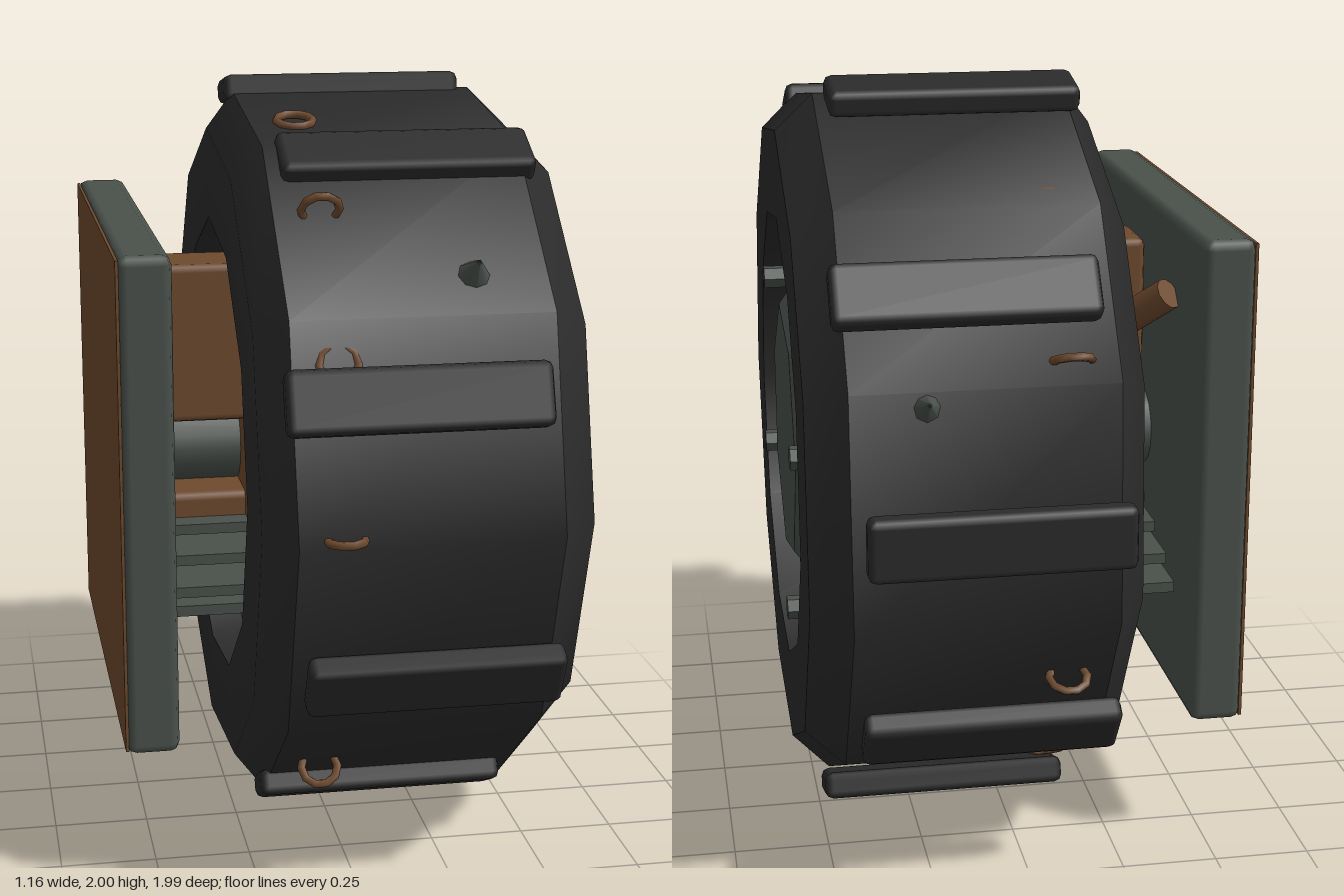
import * as THREE from 'three';
import { toCreasedNormals } from 'three/addons/utils/BufferGeometryUtils.js';
import { RoundedBoxGeometry } from 'three/addons/geometries/RoundedBoxGeometry.js';

const RAD = Math.PI / 180;
const CY = 1.01; // height of the wheel axis

function material(name, color, flatShading = false) {
  const m = new THREE.MeshStandardMaterial({ color, flatShading });
  m.name = name;
  return m;
}

// Sweeps a profile of [x, radius] points around the x axis through the given angles
// (degrees, measured from straight up towards the back).
function sweep(profile, angles, crease) {
  const pos = [];
  const point = ([x, r], a) => [x, r * Math.cos(a * RAD), -r * Math.sin(a * RAD)];
  for (let j = 0; j < angles.length; j++) {
    const a0 = angles[j], a1 = angles[(j + 1) % angles.length];
    for (let i = 0; i < profile.length - 1; i++) {
      const p = profile[i], q = profile[i + 1];
      if (q[1] > 0) pos.push(...point(p, a0), ...point(q, a0), ...point(q, a1));
      if (p[1] > 0) pos.push(...point(p, a0), ...point(q, a1), ...point(p, a1));
    }
  }
  const g = new THREE.BufferGeometry();
  g.setAttribute('position', new THREE.Float32BufferAttribute(pos, 3));
  g.computeVertexNormals();
  return toCreasedNormals(g, crease);
}

const regular = (n, start) => Array.from({ length: n }, (_, i) => start + (i * 360) / n);

export function createModel() {
  const model = new THREE.Group();
  model.name = 'scrapWheel';

  const rubber = material('blackRubber', 0x2b2b2b);
  const rust = material('rustyMetal', 0x6e4a2e);
  const steel = material('greySteel', 0x4a514b);

  const wheel = new THREE.Group();
  wheel.name = 'wheel';
  wheel.position.y = CY;
  model.add(wheel);

  function add(parent, name, geometry, mat, x = 0, y = 0, z = 0) {
    const mesh = new THREE.Mesh(geometry, mat);
    mesh.name = name;
    mesh.position.set(x, y, z);
    parent.add(mesh);
    return mesh;
  }

  // Holder whose +y points outwards from the axis at the given angle
  function around(name, angle) {
    const g = new THREE.Group();
    g.name = name + 'Holder';
    g.rotation.x = -angle * RAD;
    wheel.add(g);
    return g;
  }

  // Tyre: uneven eleven-sided tube with chamfered shoulders
  const tyreAngles = [7.8, 39.7, 68, 104.5, 137, 170, 203, 235, 269, 302, 335];
  add(wheel, 'tyre', sweep([
    [-0.265, 0.62], [-0.265, 0.86], [-0.19, 0.957], [0.465, 0.957],
    [0.563, 0.86], [0.563, 0.62], [-0.265, 0.62],
  ], tyreAngles, 0.7), rubber);

  // Seven-sided rim and hub cap
  const seven = regular(7, -6.5);
  add(wheel, 'rim', sweep([
    [-0.2, 0], [-0.2, 0.555], [0.485, 0.555], [0.5, 0.54], [0.5, 0],
  ], seven, 0.3), rust);
  add(wheel, 'hubCap', sweep([
    [0.48, 0], [0.48, 0.42], [0.5, 0.42], [0.55, 0.35], [0.55, 0],
  ], regular(7, -14), 0.3), steel);

  // Rim bolts
  for (const [y, z] of [[0.365, 0.3], [0.08, -0.48], [-0.167, 0.445], [-0.42, -0.25]]) {
    const g = new THREE.CylinderGeometry(0.032, 0.032, 0.1, 6).rotateZ(Math.PI / 2);
    add(wheel, 'rimBolt', toCreasedNormals(g, 0.5), steel, 0.525, y, z);
  }

  // Tread blocks: [angle, radius], staggered sideways
  const treads = [
    [90, 0.96], [54, 0.965], [11, 0.965], [333, 0.94], [290, 0.96],
    [245, 0.95], [207, 0.945], [160, 0.97], [125, 0.98],
  ];
  treads.forEach(([angle, r], i) => {
    const x = i % 2 ? 0.17 : 0.11;
    add(around('treadBlock', angle), 'treadBlock',
      new RoundedBoxGeometry(0.65, 0.07, 0.16, 1, 0.02), rubber, x, r, 0);
  });

  // Small rings, alternately lying flat and standing up
  for (let k = 0; k < 14; k++) {
    const g = new THREE.TorusGeometry(0.048, 0.011, 6, 10);
    if (k % 2) g.rotateX(Math.PI / 2);
    add(around('ring', 270 + (k * 360) / 14), 'ring', g, rust, -0.075, k % 2 ? 0.93 : 0.94, 0);
  }

  // Spikes
  for (const angle of [70, 185, 309]) {
    add(around('spike', angle), 'spike',
      new THREE.ConeGeometry(0.045, 0.09, 8), steel, 0.28, 0.965, 0);
  }

  // Mounting plate with a rusty outer face
  const mount = new THREE.Group();
  mount.name = 'mount';
  model.add(mount);
  add(mount, 'mountPlate', new RoundedBoxGeometry(0.135, 1.29, 1.3, 1, 0.025), steel, -0.512, 1.005, -0.015);
  add(mount, 'plateFace', new THREE.BoxGeometry(0.008, 1.27, 1.28), rust, -0.579, 1.005, -0.015);

  // Axle
  add(mount, 'axle', new THREE.CylinderGeometry(0.108, 0.108, 0.5, 16).rotateZ(Math.PI / 2),
    steel, -0.25, 1.0, -0.06);

  // Brackets above and below the axle
  add(mount, 'upperBracket', new RoundedBoxGeometry(0.34, 0.43, 0.21, 1, 0.02), rust, -0.27, 1.315, 0.025);
  add(mount, 'lowerBracket', new RoundedBoxGeometry(0.34, 0.16, 0.21, 1, 0.02), rust, -0.27, 0.82, 0.025);

  // Leaf spring: stacked leaves, shorter towards the top
  [[0.685, -0.51, 0.47], [0.732, -0.42, 0.46], [0.776, -0.29, 0.33], [0.82, -0.17, 0.2]]
    .forEach(([y, z0, z1]) => add(mount, 'springLeaf',
      new THREE.BoxGeometry(0.26, 0.028, z1 - z0), steel, -0.3, y, (z0 + z1) / 2));

  // Diagonal brace rod
  const from = new THREE.Vector3(-0.42, 1.46, -0.41);
  const to = new THREE.Vector3(-0.02, 1.07, -0.02);
  const dir = to.clone().sub(from);
  const rod = add(mount, 'braceRod', new THREE.CylinderGeometry(0.042, 0.042, dir.length(), 10), rust);
  rod.position.copy(from).addScaledVector(dir, 0.5);
  rod.quaternion.setFromUnitVectors(new THREE.Vector3(0, 1, 0), dir.normalize());

  return model;
}
